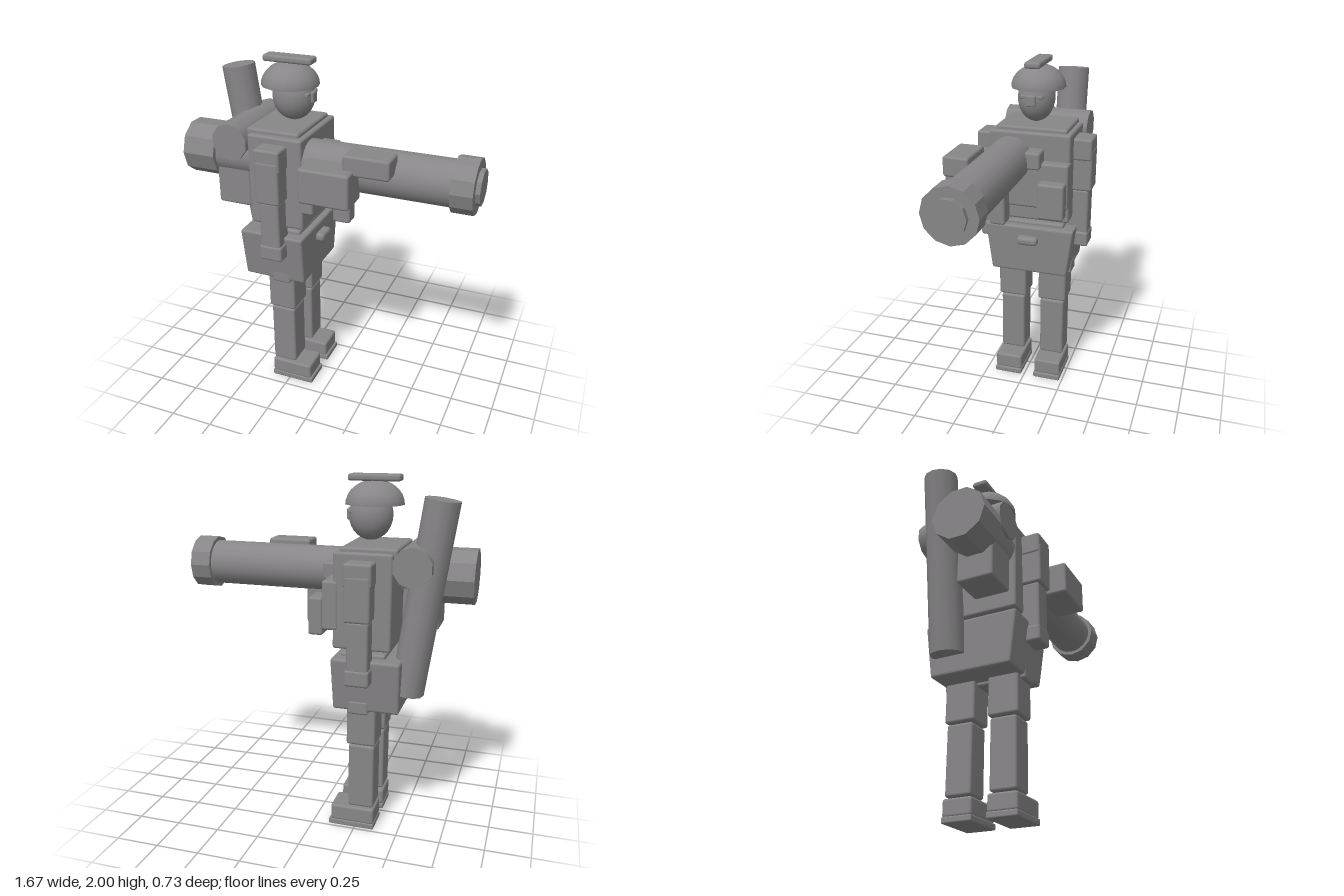
import * as THREE from 'three';
import { RoundedBoxGeometry } from 'three/addons/geometries/RoundedBoxGeometry.js';

export function createModel() {
  const model = new THREE.Group();
  model.name = 'launcherSoldier';
  const grey = new THREE.MeshStandardMaterial({ color: 0x888688 });
  grey.name = 'grey';
  const greyFlat = new THREE.MeshStandardMaterial({ color: 0x888688, flatShading: true });
  greyFlat.name = 'greyFaceted';

  function add(name, geometry, material = grey) {
    const mesh = new THREE.Mesh(geometry, material);
    mesh.name = name;
    model.add(mesh);
    return mesh;
  }
  // Softly bevelled box given by its limits on each axis
  function box(name, x0, x1, y0, y1, z0, z1, bevel = 0.014) {
    const w = x1 - x0, h = y1 - y0, d = z1 - z0;
    const r = Math.min(bevel, w * 0.4, h * 0.4, d * 0.4);
    const mesh = add(name, new RoundedBoxGeometry(w, h, d, 2, r));
    mesh.position.set((x0 + x1) / 2, (y0 + y1) / 2, (z0 + z1) / 2);
    return mesh;
  }
  // Cylinder between two points
  function rod(name, a, b, radius, sides, material = grey) {
    const from = new THREE.Vector3(...a), to = new THREE.Vector3(...b);
    const dir = to.clone().sub(from);
    const mesh = add(name, new THREE.CylinderGeometry(radius, radius, dir.length(), sides), material);
    mesh.position.copy(from).add(to).multiplyScalar(0.5);
    mesh.quaternion.setFromUnitVectors(new THREE.Vector3(0, 1, 0), dir.normalize());
    return mesh;
  }
  const midZ = -0.022;

  // Head, face and helmet
  const head = add('head', new THREE.SphereGeometry(1, 20, 14));
  head.scale.set(0.121, 0.135, 0.106);
  head.position.set(-0.265, 1.785, midZ);
  box('nose', -0.18, -0.136, 1.755, 1.82, midZ - 0.028, midZ + 0.028, 0.01);
  for (const s of [-1, 1]) {
    const z = midZ + s * 0.048;
    box('eye', -0.19, -0.15, 1.797, 1.818, z - 0.017, z + 0.017, 0.006);
  }
  const dome = new THREE.SphereGeometry(1, 14, 8, 0, Math.PI * 2, 0, Math.PI / 2);
  const helmet = add('helmet', dome);
  helmet.scale.set(0.162, 0.127, 0.156);
  helmet.position.set(-0.286, 1.842, -0.027);
  const under = add('helmetUnderside', new THREE.CircleGeometry(1, 14));
  under.rotation.x = Math.PI / 2;
  under.scale.set(0.162, 0.156, 1);
  under.position.copy(helmet.position);
  box('helmetCrest', -0.43, -0.143, 1.963, 2, -0.071, 0.02);

  // Torso and chest gear
  box('torso', -0.44, -0.12, 1.09, 1.615, -0.26, 0.217);
  box('collar', -0.46, -0.15, 1.55, 1.638, -0.232, 0.182);
  box('chestPouches', -0.15, -0.06, 1.19, 1.46, -0.265, 0.215);
  box('sidePouch', -0.063, 0.018, 1.155, 1.365, -0.26, -0.106);
  box('chestClip', -0.13, -0.02, 1.43, 1.53, -0.11, -0.02);
  box('waist', -0.405, -0.155, 0.95, 1.062, -0.222, 0.185);

  // Hip block, narrowing towards the bottom
  const hips = box('hips', -0.5, -0.116, 0.74, 1.04, -0.292, 0.25);
  const p = hips.geometry.attributes.position;
  for (let i = 0; i < p.count; i++) {
    const drop = 0.5 - p.getY(i) / 0.3;
    p.setX(i, p.getX(i) * (1 - 0.035 * drop));
    p.setZ(i, p.getZ(i) * (1 - 0.14 * drop));
  }
  hips.geometry.computeVertexNormals();
  box('hipStrap', -0.325, -0.21, 0.72, 0.8, -0.265, 0.218);
  box('buckle', -0.13, -0.07, 0.935, 0.987, -0.083, 0.042, 0.022);

  // Legs and arms on both sides
  for (const s of [-1, 1]) {
    const leg = midZ + s * 0.127;
    box('thigh', -0.362, -0.197, 0.525, 0.77, leg - 0.087, leg + 0.087);
    box('shin', -0.355, -0.207, 0.133, 0.518, leg - 0.075, leg + 0.075);
    box('boot', -0.36, -0.106, 0.03, 0.126, leg - 0.084, leg + 0.084);
    box('sole', -0.362, -0.095, 0, 0.035, leg - 0.086, leg + 0.086, 0.008);

    const arm = (name, x0, x1, y0, y1, inner, outer) => {
      const a = midZ + s * inner, b = midZ + s * outer;
      box(name, x0, x1, y0, y1, Math.min(a, b), Math.max(a, b));
    };
    arm('shoulder', -0.355, -0.203, 1.45, 1.577, 0.22, 0.343);
    arm('upperArm', -0.35, -0.21, 1.265, 1.51, 0.22, 0.346);
    arm('forearm', -0.34, -0.222, 0.99, 1.268, 0.21, 0.33);
    arm('hand', -0.347, -0.212, 0.913, 1.005, 0.22, 0.335);
  }

  // Shoulder launcher along x
  const ly = 1.46, lz = 0.087;
  rod('launcherTube', [-0.7, ly, lz], [0.7, ly, lz], 0.127, 24);
  rod('launcherRearDrum', [-0.837, ly, lz], [-0.647, ly, lz], 0.154, 10, greyFlat);
  rod('muzzleRing', [0.69, ly, lz], [0.808, ly, lz], 0.151, 12, greyFlat);
  rod('muzzleCap', [0.8, ly, lz], [0.833, ly, lz], 0.097, 10, greyFlat);
  box('launcherSight', -0.08, 0.204, 1.33, 1.525, 0.18, 0.364);
  box('launcherSideBlock', 0.143, 0.395, 1.495, 1.605, 0.15, 0.292);
  box('launcherGrip', 0.026, 0.127, 1.14, 1.36, 0.047, 0.137);

  // Gear on the back
  box('backBlock', -0.655, -0.45, 1.17, 1.42, -0.02, 0.19);
  rod('bedroll', [-0.545, 1.555, -0.28], [-0.545, 1.555, 0.23], 0.106, 10);
  rod('backTube', [-0.515, 0.84, -0.14], [-0.665, 1.888, -0.14], 0.094, 12);

  return model;
}
